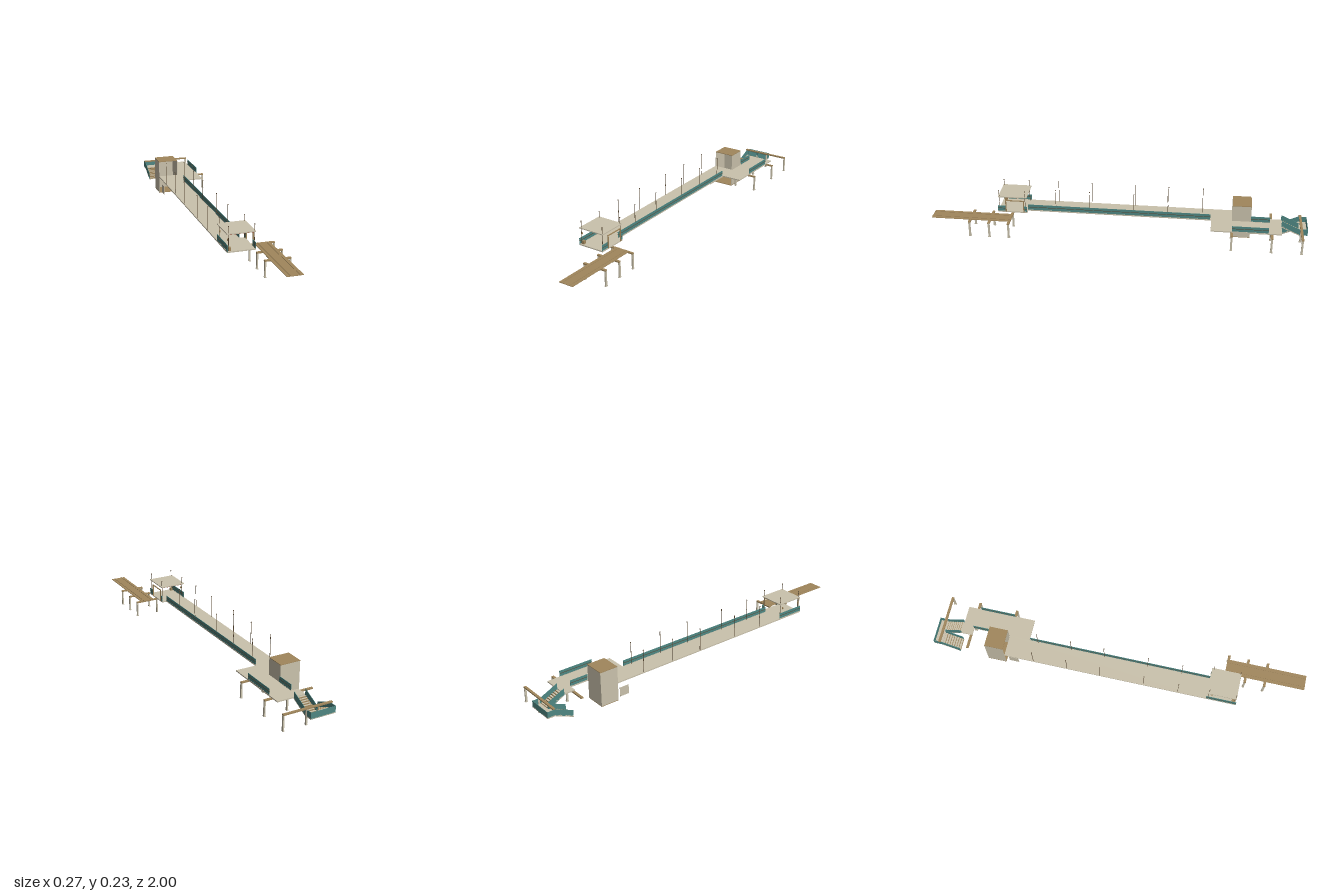
import * as THREE from 'three';

const material = (name, color) => {
  const m = new THREE.MeshStandardMaterial({ color, side: THREE.DoubleSide });
  m.name = name;
  return m;
};

export function createModel() {
  const tan = material('concrete', 0xcac2ac);
  const brown = material('timber', 0xa1875c);
  const teal = material('teal panel', 0x4f8783);
  const dark = material('dark metal', 0x5c4b35);
  const red = material('red ceiling', 0x9c4c38);
  const model = new THREE.Group();

  // Box given by its low and high limits on each axis
  function box(name, mat, x0, x1, y0, y1, z0, z1) {
    const mesh = new THREE.Mesh(new THREE.BoxGeometry(x1 - x0, y1 - y0, z1 - z0), mat);
    mesh.position.set((x0 + x1) / 2, (y0 + y1) / 2, (z0 + z1) / 2);
    mesh.name = name;
    model.add(mesh);
  }

  // Side profile in (z, y), extruded along x
  function sideProfile(name, mat, x0, x1, points) {
    const shape = new THREE.Shape(points.map(([z, y]) => new THREE.Vector2(-z, y)));
    const geo = new THREE.ExtrudeGeometry(shape, { depth: x1 - x0, bevelEnabled: false });
    geo.rotateY(Math.PI / 2);
    geo.translate(x0, 0, 0);
    const mesh = new THREE.Mesh(geo, mat);
    mesh.name = name;
    model.add(mesh);
  }

  // Parapet running along z, with a slim middle rail and a kerb
  function parapet(x, z0, z1) {
    box('parapet', teal, x - 0.001, x + 0.001, 0.101, 0.134, z0, z1);
    box('parapetRail', dark, x - 0.0016, x + 0.0016, 0.1185, 0.121, z0, z1);
    box('parapetKerb', tan, x - 0.0018, x + 0.0018, 0.1, 0.104, z0, z1);
  }

  function pole(x, z) {
    box('pole', dark, x - 0.001, x + 0.001, 0.1, 0.222, z - 0.001, z + 0.001);
    box('poleCap', dark, x - 0.002, x + 0.002, 0.222, 0.2255, z - 0.002, z + 0.002);
  }

  // Decks: long platform, front shelter floor, rear wing
  box('platformDeck', tan, -0.135, -0.02, 0.096, 0.102, -0.6, 0.5);
  box('shelterFloor', tan, -0.135, 0.008, 0.096, 0.102, 0.5, 0.658);
  box('wingDeck', tan, -0.02, 0.095, 0.096, 0.102, -0.86, -0.49);
  box('stairHeadDeck', tan, -0.06, -0.02, 0.096, 0.102, -0.86, -0.8);

  // Parapets
  parapet(-0.0195, -0.485, 0.5);
  parapet(0.007, 0.5, 0.515);
  parapet(0.007, 0.615, 0.66);
  parapet(-0.133, 0.5, 0.66);
  parapet(0.0935, -0.79, -0.6);
  parapet(-0.0195, -0.8, -0.7);

  // Lamp poles on both platform edges
  for (const z of [-0.44, -0.255, -0.075, 0.163, 0.347])
    for (const x of [-0.132, -0.027]) pole(x, z);

  // Shelter: roof with red ceiling, corner poles, lanterns, gate, bench
  box('shelterRoof', tan, -0.135, 0.009, 0.185, 0.19, 0.5, 0.655);
  box('shelterCeiling', red, -0.13, 0.004, 0.182, 0.185, 0.505, 0.65);
  for (const z of [0.51, 0.65]) {
    for (const x of [-0.126, 0.003]) pole(x, z);
    const lampZ = z < 0.6 ? 0.527 : 0.645;
    box('lantern', brown, -0.131, -0.125, 0.152, 0.162, lampZ - 0.003, lampZ + 0.003);
  }
  for (const z of [0.515, 0.612]) box('gatePost', brown, 0.007, 0.012, 0.1, 0.17, z, z + 0.005);
  box('gateLintel', brown, 0.007, 0.012, 0.166, 0.17, 0.515, 0.617);
  box('bench', brown, -0.126, -0.113, 0.102, 0.118, 0.635, 0.65);

  // Lift tower, open at the front
  box('towerSide', tan, -0.135, -0.133, 0.003, 0.188, -0.7, -0.6);
  box('towerSide', tan, -0.026, -0.024, 0.003, 0.188, -0.7, -0.6);
  box('towerBack', tan, -0.135, -0.024, 0.003, 0.188, -0.7, -0.698);
  box('towerRoof', brown, -0.135, -0.024, 0.188, 0.191, -0.7, -0.6);
  box('towerFloor', brown, -0.135, -0.024, 0, 0.003, -0.7, -0.6);
  box('lowerSign', tan, -0.125, -0.123, 0.01, 0.06, -0.583, -0.53);

  // Portals: timber beam on two footed posts
  for (const [z, left] of [[0.58, 0], [0.685, 0], [0.79, 0], [-0.6, 0], [-0.808, -0.135], [-0.965, -0.135]]) {
    box('portalBeam', brown, left, 0.133, 0.089, 0.0955, z - 0.0065, z + 0.0065);
    for (const x of [0.005, 0.13]) {
      box('portalPost', tan, x - 0.0035, x + 0.0035, 0.012, 0.09, z - 0.005, z + 0.005);
      box('portalFoot', tan, x - 0.0045, x + 0.0045, 0.009, 0.013, z - 0.007, z + 0.007);
    }
  }

  // Front walkway with two low runners
  box('walkway', brown, 0.027, 0.108, 0.094, 0.0965, 0.575, 1);
  for (const x of [0.045, 0.09]) box('walkwayRunner', brown, x - 0.001, x + 0.001, 0.0965, 0.0985, 0.575, 1);

  // Switchback stairs: sloped soffit, treads with nosings, sloping side panels
  function flight(x0, x1, zA, yA, zB, yB, steps) {
    sideProfile('flightSoffit', tan, x0, x1, [[zA, yA - 0.008], [zB, yB - 0.008], [zB, yB - 0.004], [zA, yA - 0.004]]);
    const dz = (zB - zA) / steps, dy = (yB - yA) / steps;
    for (let i = 0; i < steps; i++) {
      const z = zA + dz * i, top = yA + dy * (i + 0.5), edge = z + dz;
      box('stairTread', tan, x0, x1, top - 0.005, top, Math.min(z, edge), Math.max(z, edge));
      box('stairNosing', brown, x0 + 0.002, x1 - 0.002, top - 0.005, top + 0.0005, edge - 0.001, edge + 0.001);
    }
    for (const x of [x0, x1 - 0.002])
      sideProfile('stairPanel', teal, x, x + 0.002, [[zA, yA - 0.008], [zB, yB - 0.008], [zB, yB + 0.03], [zA, yA + 0.03]]);
  }
  flight(-0.06, 0.005, -0.86, 0.1, -0.955, 0.056, 8);
  flight(-0.132, -0.062, -0.955, 0.056, -0.86, 0.014, 8);

  // Stair landing with panels
  box('landing', tan, -0.132, 0.005, 0.05, 0.056, -1, -0.955);
  box('landingBackPanel', teal, -0.132, 0.005, 0.05, 0.086, -1, -0.998);
  for (const x of [-0.132, 0.003]) box('landingSidePanel', teal, x, x + 0.002, 0.05, 0.086, -1, -0.955);

  return model;
}
